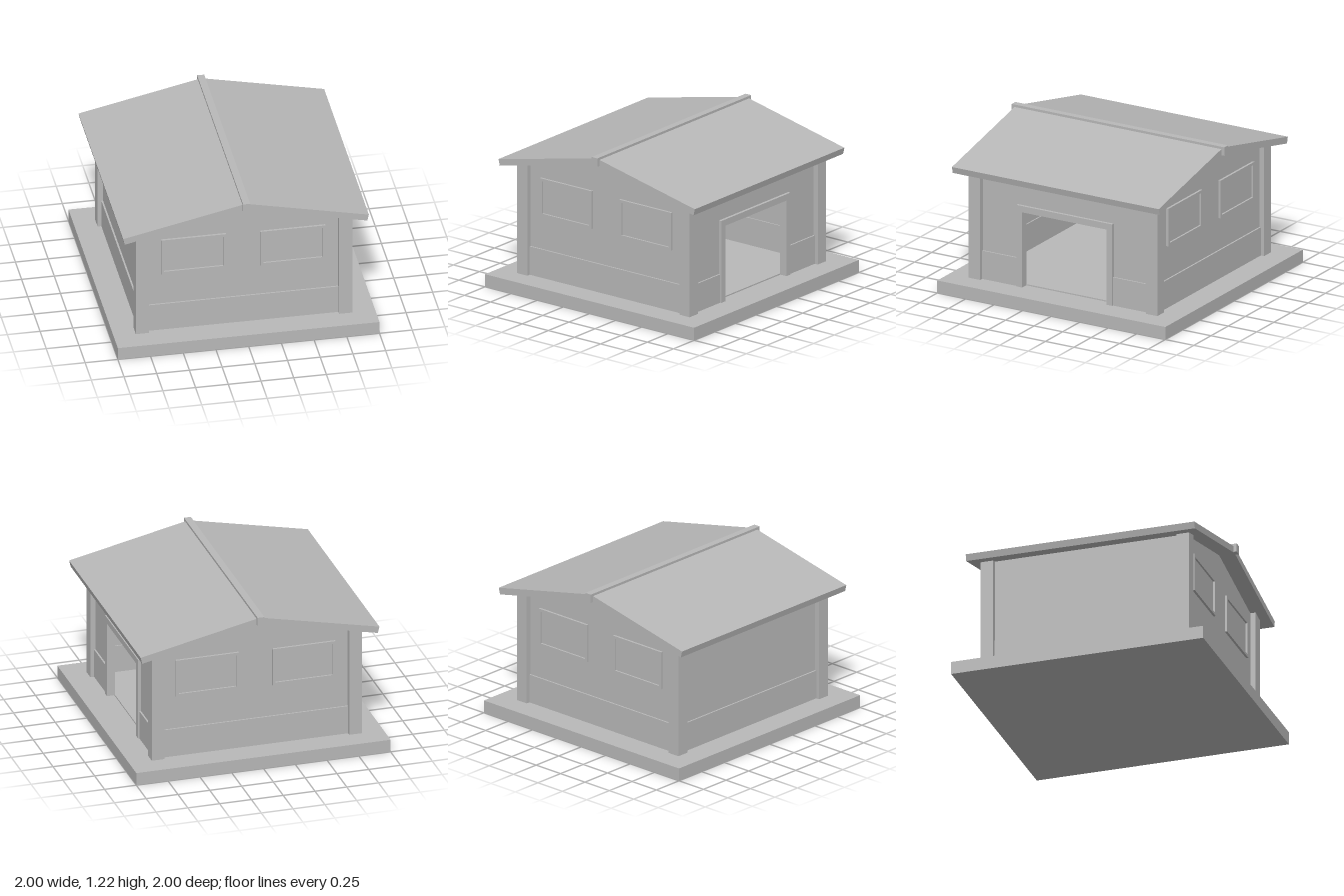
import * as THREE from 'three';

const stone = new THREE.MeshStandardMaterial({ color: 0xb8b8b8 });
stone.name = 'plain grey';

function add(parent, name, geometry, x = 0, y = 0, z = 0) {
  const mesh = new THREE.Mesh(geometry, stone);
  mesh.name = name;
  mesh.position.set(x, y, z);
  parent.add(mesh);
  return mesh;
}

// Box given by its lower and upper limits on each axis
function slab(parent, name, [x0, x1], [y0, y1], [z0, z1]) {
  return add(parent, name, new THREE.BoxGeometry(x1 - x0, y1 - y0, z1 - z0),
    (x0 + x1) / 2, (y0 + y1) / 2, (z0 + z1) / 2);
}

// Outline in x and y, extruded from z0 to z1
function plate(parent, name, points, z0, z1, hole) {
  const shape = new THREE.Shape(points.map(p => new THREE.Vector2(...p)));
  if (hole) shape.holes.push(new THREE.Path(hole.map(p => new THREE.Vector2(...p))));
  return add(parent, name,
    new THREE.ExtrudeGeometry(shape, { depth: z1 - z0, bevelEnabled: false }), 0, 0, z0);
}

const rect = (x0, x1, y0, y1) => [[x0, y0], [x1, y0], [x1, y1], [x0, y1]];

const BASE = 0.1, INNER = 0.75, OUTER = 0.785, RAIL = 0.325;

// Gable wall with lower panel and two framed windows, facing +z
function gableWall(name) {
  const g = new THREE.Group();
  g.name = name;
  plate(g, 'gable', [[-OUTER, BASE], [OUTER, BASE], [OUTER, 0.992], [0, 1.165], [-OUTER, 0.992]], INNER, OUTER);
  slab(g, 'lowerPanel', [-0.74, 0.74], [BASE, RAIL], [0.74, 0.798]);
  for (const [cx, cy] of [[-0.38, 0.74], [0.38, 0.73]]) {
    const w = 0.248, h = 0.15, t = 0.022;
    plate(g, 'windowFrame', rect(cx - w, cx + w, cy - h, cy + h), 0.77, 0.803,
      rect(cx - w + t, cx + w - t, cy - h + t, cy + h - t));
    slab(g, 'windowPane', [cx - w + t, cx + w - t], [cy - h + t, cy + h - t], [0.782, 0.789]);
  }
  return g;
}

// Plain side wall, facing +z before it is turned
function plainWall() {
  const g = new THREE.Group();
  g.name = 'plainSideWall';
  slab(g, 'wall', [-INNER, INNER], [BASE, 0.992], [INNER, OUTER]);
  slab(g, 'lowerPanel', [-0.74, 0.74], [BASE, RAIL], [0.74, 0.798]);
  return g;
}

// Side wall with an open doorway, facing +z before it is turned
function doorWall() {
  const g = new THREE.Group();
  g.name = 'doorSideWall';
  const arch = (w, h, W, H) => [[-W, BASE], [-w, BASE], [-w, h], [w, h], [w, BASE], [W, BASE], [W, H], [-W, H]];
  plate(g, 'wall', arch(0.4, 0.73, INNER, 0.992), INNER, OUTER);
  plate(g, 'doorFrame', arch(0.37, 0.70, 0.42, 0.75), 0.745, 0.808);
  for (const s of [-1, 1]) {
    const ends = [s * 0.4, s * 0.74].sort((a, b) => a - b);
    slab(g, 'lowerPanel', ends, [BASE, RAIL], [0.74, 0.798]);
  }
  return g;
}

export function createModel() {
  const model = new THREE.Group();
  model.name = 'smallHouse';
  slab(model, 'basePlinth', [-1, 1], [0, BASE], [-1, 1]);

  const house = new THREE.Group();
  house.name = 'house';
  house.position.set(-0.003, 0, 0.003);
  model.add(house);

  slab(house, 'floor', [-INNER, INNER], [BASE, 0.11], [-INNER, INNER]);

  // Corner posts
  for (const sx of [-1, 1]) for (const sz of [-1, 1])
    add(house, 'cornerPost', new THREE.BoxGeometry(0.1, 0.9, 0.1), sx * 0.777, 0.55, sz * 0.777);

  // Walls
  const back = gableWall('backWall');
  back.rotation.y = Math.PI;
  const right = doorWall();
  right.rotation.y = Math.PI / 2;
  const left = plainWall();
  left.rotation.y = -Math.PI / 2;
  house.add(gableWall('frontWall'), back, right, left);

  // Roof slopes and ridge beam
  for (const s of [-1, 1]) {
    const pts = [[0, 1.155], [s * 0.927, 0.952], [s * 0.939, 1.003], [0, 1.207]];
    plate(house, 'roofSlope', pts, -0.907, 0.907);
  }
  slab(house, 'ridgeBeam', [-0.027, 0.027], [1.153, 1.22], [-0.933, 0.933]);
  return model;
}
